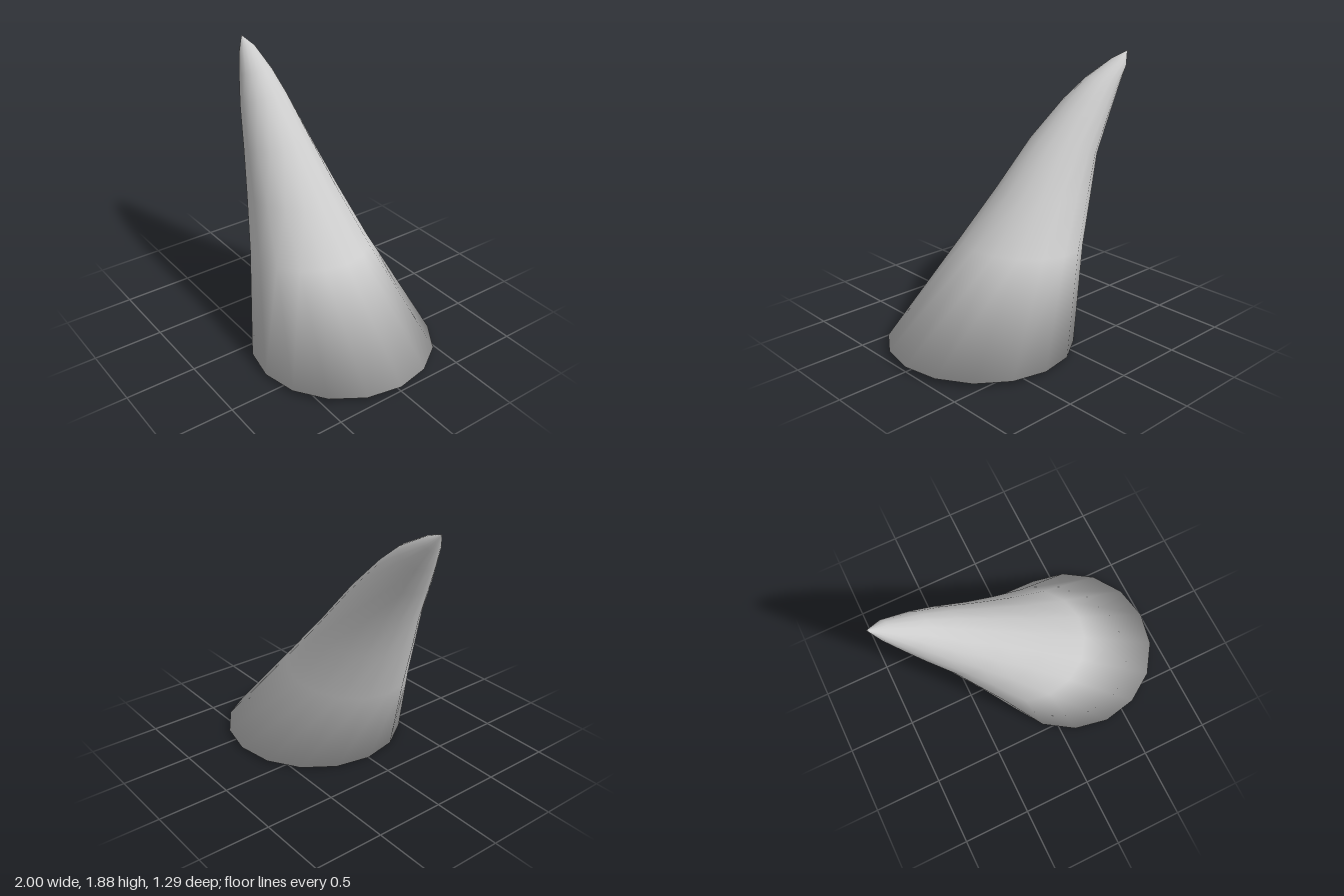
import * as THREE from 'three';

// Each section: left edge x, y; right edge x, y; front z; back z
const SECTIONS = [
  [-0.29, 0, 1, 0.035, 0.645, -0.645],
  [-0.48, 0.6, 0.4, 0.68, 0.42, -0.415],
  [-0.6, 0.95, 0.1, 1.0, 0.315, -0.32],
  [-0.675, 1.18, -0.2, 1.335, 0.232, -0.245],
  [-0.8, 1.44, -0.476, 1.59, 0.14, -0.205],
  [-0.89, 1.625, -0.65, 1.722, 0.065, -0.175],
  [-0.955, 1.76, -0.875, 1.84, -0.015, -0.145],
  [-1, 1.88, -1, 1.88, -0.088, -0.088],
];
const SIDES = 16;

// Skins tilted oval sections into one closed, smooth body
function loft(sections, sides) {
  const positions = [];
  const index = [];
  sections.forEach(([lx, ly, rx, ry, front, back], row) => {
    for (let i = 0; i < sides; i++) {
      const a = (i / sides) * Math.PI * 2;
      const t = (1 + Math.cos(a)) / 2;
      positions.push(
        lx + (rx - lx) * t,
        ly + (ry - ly) * t,
        (front + back) / 2 + ((front - back) / 2) * Math.sin(a)
      );
      if (row === sections.length - 1) continue;
      const p = row * sides + i;
      const q = row * sides + ((i + 1) % sides);
      index.push(p, p + sides, q);
      // The last row meets in a point, so it needs one triangle per side
      if (row < sections.length - 2) index.push(q, p + sides, q + sides);
    }
  });
  const geometry = new THREE.BufferGeometry();
  geometry.setAttribute('position', new THREE.Float32BufferAttribute(positions, 3));
  geometry.setIndex(index);
  geometry.computeVertexNormals();

  // Flat base sharing the rim vertices, with the rim shaded smoothly into it
  const normals = geometry.attributes.normal;
  const normal = new THREE.Vector3();
  const first = 9;
  for (let i = 0; i < sides; i++) {
    normal.fromBufferAttribute(normals, i);
    normal.y -= 1;
    normal.normalize();
    normals.setXYZ(i, normal.x, normal.y, normal.z);
    if (i > 0 && i < sides - 1) index.push(first, (first + i) % sides, (first + i + 1) % sides);
  }
  geometry.setIndex(index);
  return geometry;
}

export function createModel() {
  const group = new THREE.Group();
  group.name = 'horn';

  // Curved horn tapering to a point
  const material = new THREE.MeshStandardMaterial({ color: 0xcccccc });
  const body = new THREE.Mesh(loft(SECTIONS, SIDES), material);
  body.name = 'hornBody';
  group.add(body);

  return group;
}
